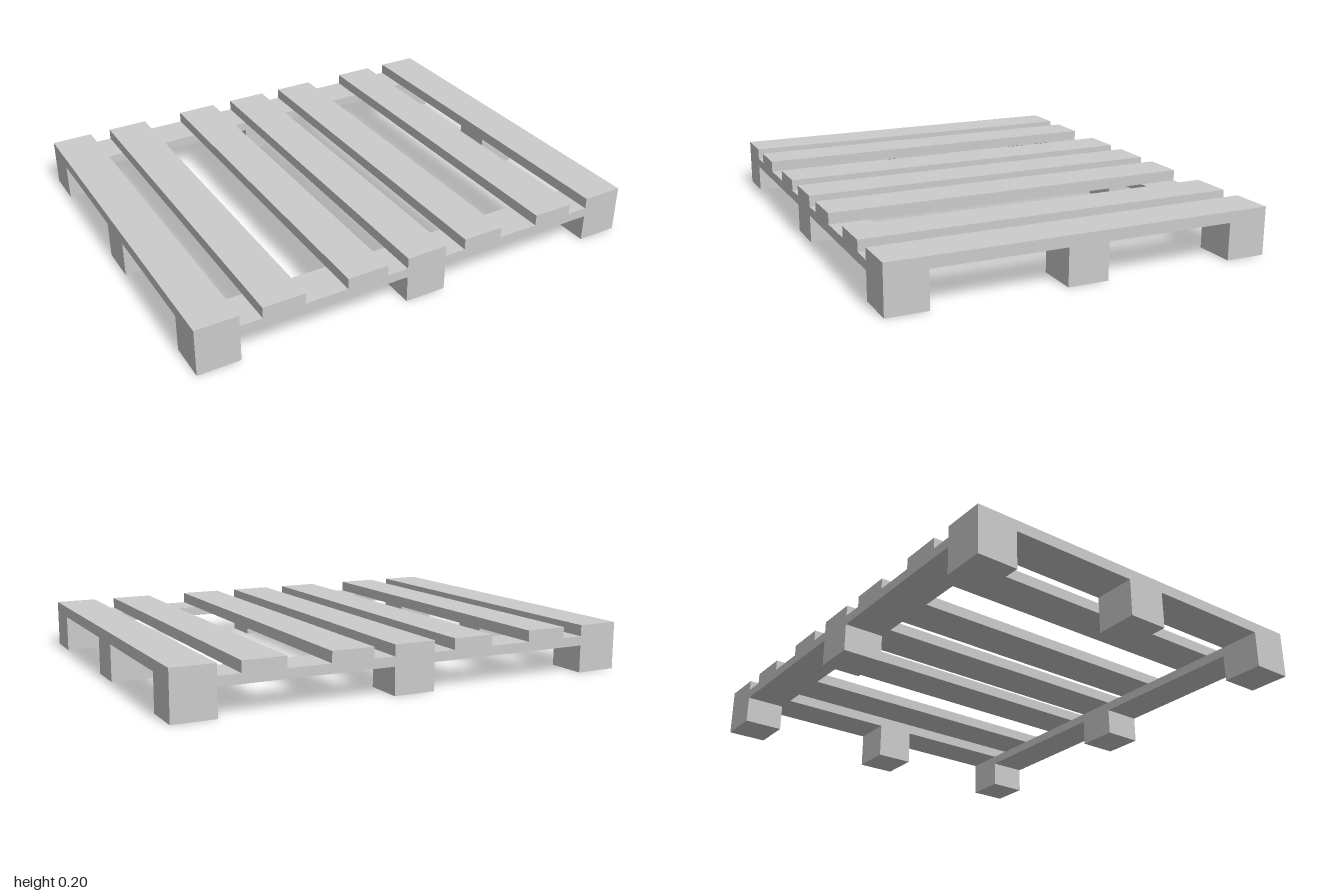
import * as THREE from 'three';

export function createModel() {
  const group = new THREE.Group();
  group.name = 'pallet';
  const material = new THREE.MeshStandardMaterial({ color: 0xcccccc, flatShading: true });

  const HALF_DEPTH = 0.812;
  const BOARD = 0.18;        // width of boards and blocks along x
  const RAIL_DEPTH = 0.172;  // depth of rails and blocks along z
  const RAIL_BOTTOM = 0.117, DECK_BOTTOM = 0.157, DECK_TOP = 0.204;
  const END_X = 1 - BOARD / 2;
  const END_Z = HALF_DEPTH - RAIL_DEPTH / 2;

  function addBox(name, width, depth, bottom, top, x, z) {
    const mesh = new THREE.Mesh(new THREE.BoxGeometry(width, top - bottom, depth), material);
    mesh.name = name;
    mesh.position.set(x, (bottom + top) / 2, z);
    group.add(mesh);
  }

  // Seven deck boards running front to back
  for (const x of [-END_X, -0.637, -0.273, 0, 0.273, 0.637, END_X]) {
    addBox('deckBoard', BOARD, HALF_DEPTH * 2, DECK_BOTTOM, DECK_TOP, x, 0);
  }

  // Eight feet around the edge, with the centre left open
  for (const x of [-END_X, 0, END_X]) {
    for (const z of [-END_Z, 0, END_Z]) {
      if (x === 0 && z === 0) continue;
      addBox('footBlock', BOARD, RAIL_DEPTH, 0, DECK_BOTTOM, x, z);
    }
  }

  // Front and back rails, fitted between the feet
  const span = END_X - BOARD;
  for (const z of [-END_Z, END_Z]) {
    for (const side of [-1, 1]) {
      addBox('crossRail', span, RAIL_DEPTH, RAIL_BOTTOM, DECK_BOTTOM, side * END_X / 2, z);
    }
  }

  return group;
}
